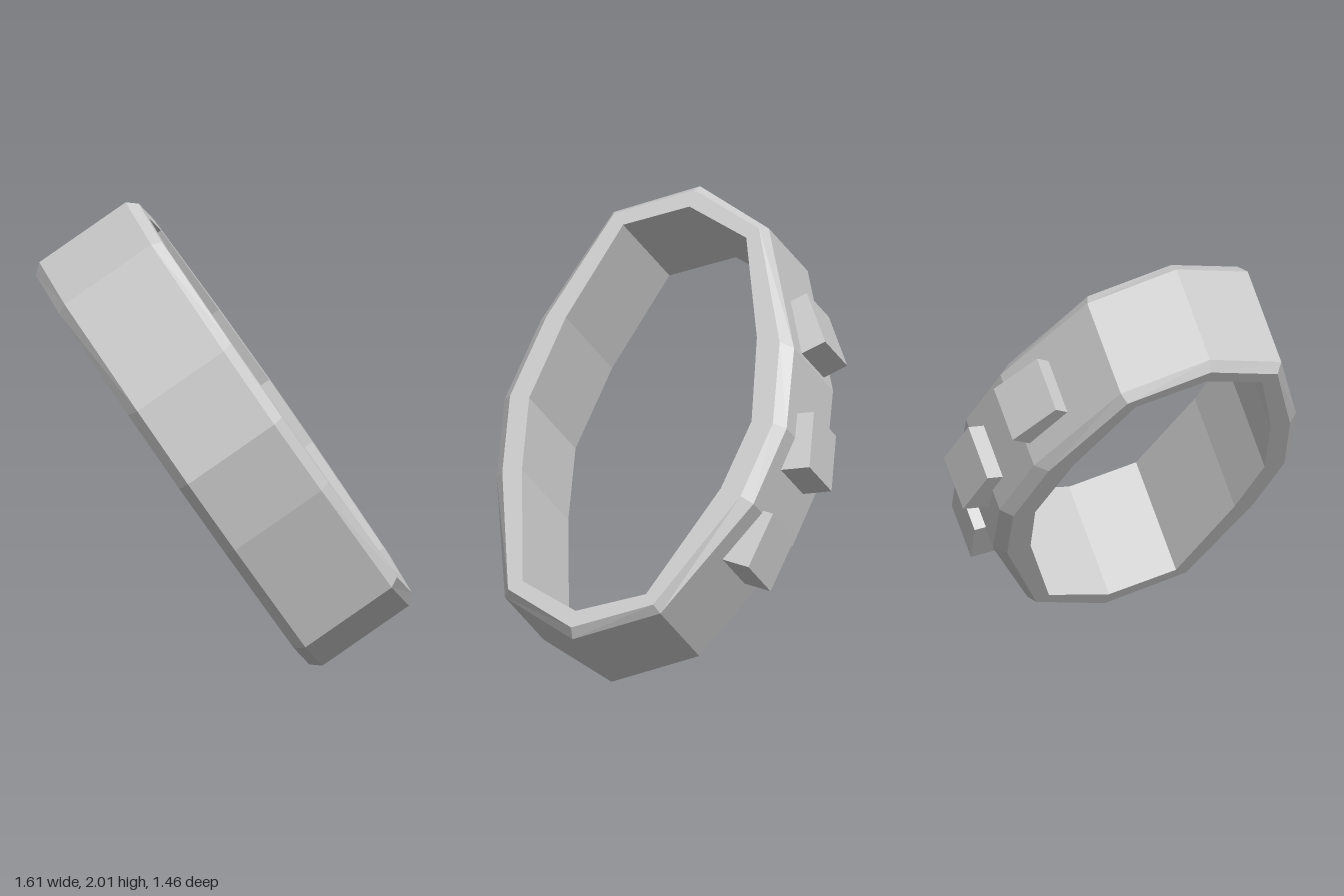
import * as THREE from 'three';

const grey = () => new THREE.MeshStandardMaterial({ color: 0xcccccc, flatShading: true });

// Band outlines as [along, depth], running around the loop
const outer = [[-1.065, 0], [-0.905, 0.37], [-0.375, 0.565], [0, 0.63], [0.36, 0.565], [0.905, 0.37],
  [1.065, 0], [0.905, -0.375], [0.36, -0.665], [0, -0.72], [-0.37, -0.65], [-0.905, -0.375]];
const inner = [[-0.95, 0], [-0.835, 0.285], [-0.385, 0.43], [0, 0.495], [0.33, 0.435], [0.84, 0.285],
  [0.95, 0], [0.84, -0.305], [0.32, -0.515], [0, -0.57], [-0.385, -0.485], [-0.835, -0.305]];

// Cross-section: [blend from outer to inner outline, height across the band]
const section = [[0, 0.225], [0.32, 0.268], [1, 0.268], [1, -0.268], [0.32, -0.268], [0, -0.225]];

function bandGeometry() {
  const n = outer.length, m = section.length;
  const point = (i, k) => {
    const o = outer[i % n], q = inner[i % n], [t, h] = section[k % m];
    return [o[0] + (q[0] - o[0]) * t, h, o[1] + (q[1] - o[1]) * t];
  };
  const positions = [];
  for (let i = 0; i < n; i++) {
    for (let k = 0; k < m; k++) {
      const a = point(i, k), b = point(i + 1, k), c = point(i + 1, k + 1), d = point(i, k + 1);
      positions.push(...a, ...b, ...c, ...a, ...c, ...d);
    }
  }
  const geometry = new THREE.BufferGeometry();
  geometry.setAttribute('position', new THREE.Float32BufferAttribute(positions, 3));
  geometry.computeVertexNormals();
  return geometry;
}

export function createModel() {
  const model = new THREE.Group();
  model.name = 'studdedBand';

  // Everything is built upright around its axis, then leaned over
  const tilted = new THREE.Group();
  tilted.name = 'tiltedBand';
  tilted.rotation.z = -0.965;
  tilted.position.set(0, 1, 0.095);
  model.add(tilted);

  // Faceted band with bevelled outer rims
  const band = new THREE.Mesh(bandGeometry(), grey());
  band.name = 'band';
  tilted.add(band);

  // Square studs on the back: [along, depth of the outer face, turn]
  const studGeometry = new THREE.BoxGeometry(0.26, 0.255, 0.15).translate(0, 0, 0.075);
  [[-0.56, -0.66, 0.61], [0, -0.8, 0.2], [0.485, -0.695, -0.17]].forEach(([u, z, turn], i) => {
    const stud = new THREE.Mesh(studGeometry, grey());
    stud.name = `stud${i + 1}`;
    stud.position.set(u, 0, z);
    stud.rotation.y = turn;
    tilted.add(stud);
  });

  return model;
}
